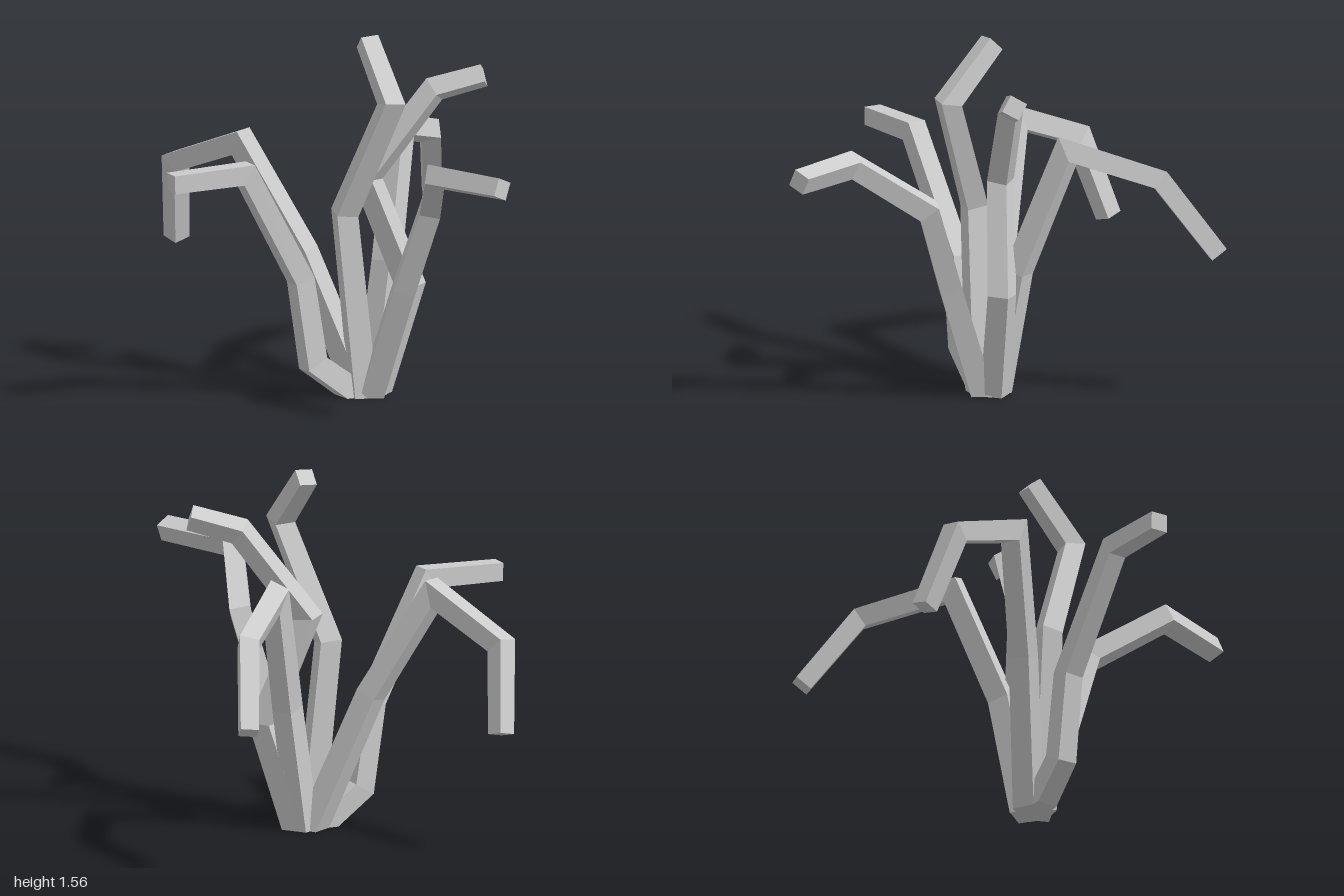
import * as THREE from 'three';

const V = (p) => new THREE.Vector3(...p);
const UP = new THREE.Vector3(0, 1, 0);

// Each stem: centre line, a facing direction for one flat side, and the segment it applies to
const STEMS = [
  { name: 'leftStem', seg: 3, side: [0, 0.9, -0.4],
    path: [[0.075, 0, 0.11], [0.27, 0.5, 0.17], [0.42, 0.87, 0.205], [0.6, 1.085, 0.48], [0.97, 1.09, 0.56]] },
  { name: 'frontStem', seg: 3, side: [0, 1, 0],
    path: [[0.02, 0, 0.12], [-0.11, 0.155, 0.28], [-0.145, 0.525, 0.325], [-0.27, 1.02, 0.58], [-0.47, 1.01, 0.86]] },
  { name: 'rightStem', seg: 2, side: [0, 1, 0.1],
    path: [[0.015, 0, 0.085], [-0.23, 0.6, 0.155], [-0.5, 1.06, 0.215], [-0.885, 0.905, 0.095], [-0.945, 0.55, -0.02]] },
  { name: 'backStem', seg: 2, side: [-0.3, 0.95, 0],
    path: [[0.045, 0, 0.06], [0.06, 0.55, -0.05], [0.01, 1.085, -0.255], [-0.07, 0.98, -0.65], [-0.185, 0.655, -0.865]] },
  { name: 'zigzagStem', seg: 1, side: [1, 0.4, 0],
    path: [[0.065, 0, 0.055], [0.185, 0.47, -0.03], [0.02, 0.93, 0.05], [0.26, 1.31, -0.105], [0.445, 1.37, -0.205]] },
  { name: 'tallStem', seg: 0, side: [1, 0, 1],
    path: [[0.05, 0, 0.13], [-0.01, 0.8, 0.185], [0.225, 1.3, 0.2], [0.04, 1.53, 0.08]] },
];

// Square tube with mitred corners, slightly tapered, closed at both ends
function stemGeometry({ path, side, seg }) {
  const pts = path.map(V);
  const last = pts.length - 1;
  const dirs = pts.slice(1).map((p, i) => p.clone().sub(pts[i]).normalize());

  // Carry the side direction along the stem without twisting
  const sides = [];
  sides[seg] = V(side).projectOnPlane(dirs[seg]).normalize();
  const turn = (a, b) => {
    sides[b] = sides[a].clone().applyQuaternion(new THREE.Quaternion().setFromUnitVectors(dirs[a], dirs[b]));
  };
  for (let i = seg; i > 0; i--) turn(i, i - 1);
  for (let i = seg; i < last - 1; i++) turn(i, i + 1);

  const pos = [];
  pts.forEach((p, i) => {
    const k = Math.min(i, last - 1), d = dirs[k];
    const plane = i === 0 ? UP : i === last ? d : d.clone().add(dirs[i - 1]).normalize();
    const u = sides[k], v = d.clone().cross(u);
    const half = THREE.MathUtils.lerp(0.049, 0.039, i / last);
    for (const [a, b] of [[1, 1], [-1, 1], [-1, -1], [1, -1]]) {
      const o = u.clone().multiplyScalar(a * half).addScaledVector(v, b * half);
      o.addScaledVector(d, -o.dot(plane) / d.dot(plane));
      pos.push(...o.add(p).toArray());
    }
  });

  const idx = [0, 2, 1, 0, 3, 2];
  for (let i = 0; i < last; i++) {
    for (let j = 0; j < 4; j++) {
      const a = i * 4 + j, b = i * 4 + (j + 1) % 4;
      idx.push(a, b, b + 4, a, b + 4, a + 4);
    }
  }
  const e = last * 4;
  idx.push(e, e + 1, e + 2, e, e + 2, e + 3);

  const geo = new THREE.BufferGeometry();
  geo.setAttribute('position', new THREE.Float32BufferAttribute(pos, 3));
  geo.setIndex(idx);
  const flat = geo.toNonIndexed();
  flat.computeVertexNormals();
  return flat;
}

export function createModel() {
  const group = new THREE.Group();
  group.name = 'branchingPlant';
  const material = new THREE.MeshStandardMaterial({ color: 0xcccccc, flatShading: true });

  for (const stem of STEMS) {
    const mesh = new THREE.Mesh(stemGeometry(stem), material);
    mesh.name = stem.name;
    group.add(mesh);
  }

  // Root where the stems meet
  const root = new THREE.Mesh(new THREE.CylinderGeometry(0.07, 0.085, 0.06, 6), material);
  root.name = 'root';
  root.position.set(0.045, 0.03, 0.09);
  group.add(root);
  return group;
}
